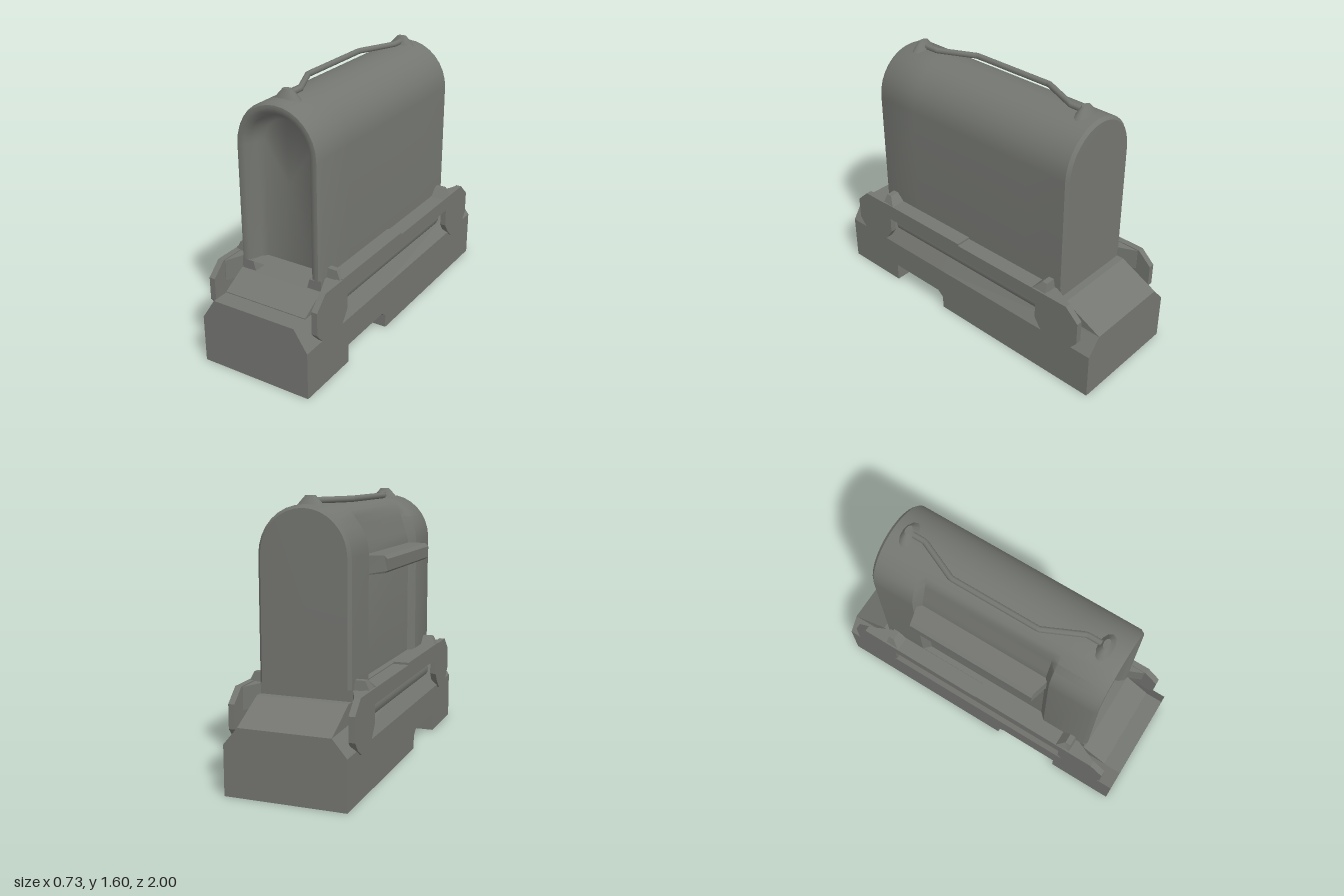
import * as THREE from 'three';
import { toCreasedNormals } from 'three/addons/utils/BufferGeometryUtils.js';

const gunmetal = new THREE.MeshStandardMaterial({ color: 0x747671 });
gunmetal.name = 'gunmetal grey';

const toShape = (pts) => new THREE.Shape(pts.map(([a, b]) => new THREE.Vector2(a, b)));

// Outline in (x, y), extruded from z0 to z1
function alongZ(pts, z0, z1) {
  return new THREE.ExtrudeGeometry(toShape(pts), { depth: z1 - z0, bevelEnabled: false }).translate(0, 0, z0);
}

// Outline in (z, y), extruded from x0 to x1
function alongX(pts, x0, x1) {
  return new THREE.ExtrudeGeometry(toShape(pts), { depth: x1 - x0, bevelEnabled: false })
    .rotateY(-Math.PI / 2).translate(x1, 0, 0);
}

// Move every vertex by a rule acting on a vector
function reshape(geometry, rule) {
  const p = geometry.attributes.position, v = new THREE.Vector3();
  for (let i = 0; i < p.count; i++) {
    v.fromBufferAttribute(p, i);
    rule(v);
    p.setXYZ(i, v.x, v.y, v.z);
  }
  geometry.computeVertexNormals();
  return geometry;
}

// Arched cross-section, counterclockwise seen from +z; dent pushes the right flank inward
function arch(inset, dent) {
  const bottom = 0.575, spring = 1.28, n = 16;
  const pts = [[-0.27 + inset, bottom], [0.27 - inset, bottom]];
  for (let i = 0; i <= n; i++) {
    const t = (i / n) * Math.PI;
    pts.push([(0.27 - inset) * Math.cos(t), spring + (0.275 - inset) * Math.sin(t)]);
  }
  return pts.map(([x, y]) => {
    if (!dent || x > -0.16) return [x, y];
    const flank = -0.23 + 0.07 * Math.max(0, (y - spring) / 0.22);
    return [Math.max(x, flank), y];
  });
}

// Hood lofted from back to front, folding into the front recess
function hoodGeometry() {
  const rings = [
    [-0.73, 0.018], [-0.712, 0], [-0.45, 0], [-0.41, 0, true], [0.4, 0, true], [0.44, 0],
    [0.715, 0], [0.738, 0.014], [0.74, 0.03], [0.732, 0.055], [0.705, 0.075], [0.66, 0.09], [0.635, 0.12],
  ];
  const pos = [], idx = [];
  const n = arch(0).length;
  for (const [z, inset, dent] of rings) for (const [x, y] of arch(inset, dent)) pos.push(x, y, z);
  for (let r = 0; r < rings.length - 1; r++) {
    for (let j = 0; j < n; j++) {
      const k = (j + 1) % n;
      const a = r * n + j, b = r * n + k, c = a + n, d = b + n;
      idx.push(a, b, c, b, d, c);
    }
  }
  const back = rings.length * n, front = back + 1, last = (rings.length - 1) * n;
  pos.push(0, 1.05, -0.732, 0, 1.05, 0.63);
  for (let j = 0; j < n; j++) {
    const k = (j + 1) % n;
    idx.push(back, k, j, front, last + j, last + k);
  }
  const g = new THREE.BufferGeometry();
  g.setAttribute('position', new THREE.Float32BufferAttribute(pos, 3));
  g.setIndex(idx);
  return toCreasedNormals(g, 0.7);
}

export function createModel() {
  const model = new THREE.Group();
  model.name = 'opticalSight';
  const add = (name, geometry) => {
    const m = new THREE.Mesh(geometry, gunmetal);
    m.name = name;
    model.add(m);
  };

  // Base in three lengths, with a cross notch under the middle one
  const upper = [[0.355, 0.29], [0.27, 0.42], [-0.27, 0.42], [-0.355, 0.29]];
  const plain = [[-0.355, 0], [0.355, 0], ...upper];
  const lug = [[-0.355, 0.115], [-0.33, 0.1], [-0.3, 0.06], [-0.26, 0.032], [-0.2, 0.02],
    [0.2, 0.02], [0.26, 0.032], [0.3, 0.06], [0.33, 0.1], [0.355, 0.115], ...upper];
  add('baseFront', alongZ(plain, 0.585, 1));
  add('baseMiddle', toCreasedNormals(alongZ(lug, 0.16, 0.585), 0.5));
  add('baseRear', reshape(alongZ(plain, -1, 0.16), (v) => {
    if (v.z < -0.9 && v.y > 0.4) v.y = 0.39;
  }));
  add('notchChamfer', alongX([[0.16, 0.12], [0.2, 0.115], [0.16, 0.08]], -0.355, 0.355));

  // Sloped deck, and a pedestal undercut at the front
  add('deck', alongX([[0.89, 0.4], [0.89, 0.425], [0.74, 0.51], [-0.76, 0.51], [-1, 0.39], [-1, 0.37]], -0.27, 0.27));
  add('pedestal', alongX([[0.72, 0.576], [-0.715, 0.576], [-0.715, 0.5], [0.6, 0.5]], -0.268, 0.268));

  add('hood', hoodGeometry());

  // Tapered switch housing seated in the dented right flank
  const housing = [[-0.2, 1.155], [-0.2, 1.268], [-0.345, 1.27], [-0.365, 1.25], [-0.365, 1.185], [-0.345, 1.17]];
  add('sideHousing', reshape(alongZ(housing, -0.44, 0.44), (v) => {
    if (v.x < -0.3) v.z *= 0.91;
    v.z -= 0.01;
  }));

  // Cranked wire along the top, held by two small mounts
  const wire = new THREE.CurvePath();
  const bends = [[0, 0.59], [0, 0.5], [-0.107, 0.27], [-0.107, -0.28], [0, -0.52], [0, -0.6]]
    .map(([x, z]) => new THREE.Vector3(x, 1.568, z));
  for (let i = 0; i < bends.length - 1; i++) wire.add(new THREE.LineCurve3(bends[i], bends[i + 1]));
  add('topWire', new THREE.TubeGeometry(wire, 80, 0.018, 8));
  for (const z of [0.615, -0.62]) {
    const mount = new THREE.CylinderGeometry(0.03, 0.085, 0.06, 12);
    add('wireMount', mount.scale(1, 1, 0.6).translate(0, 1.57, z));
  }

  // Side guards, mirrored left and right
  const knob = [[0.915, 0.36], [0.915, 0.5], [0.83, 0.58], [0.61, 0.58], [0.61, 0.38],
    [0.65, 0.32], [0.7, 0.27], [0.82, 0.27], [0.87, 0.305]];
  const horn = [[0.675, 0.56], [0.665, 0.63], [0.63, 0.63], [0.58, 0.58], [0.58, 0.56]];
  const span = (s, a, b) => (s > 0 ? [a, b] : [-b, -a]);
  for (const s of [1, -1]) {
    add('guardBarFront', alongX([[0, 0.48], [0.66, 0.48], [0.66, 0.583], [0, 0.583]], ...span(s, 0.268, 0.365)));
    add('guardBarRear', alongX([[-0.66, 0.48], [0, 0.48], [0, 0.57], [-0.66, 0.57]], ...span(s, 0.268, 0.365)));

    // Rounded rib in the slot under the bar
    const rib = new THREE.CylinderGeometry(0.068, 0.068, 1.22, 16).rotateX(Math.PI / 2);
    add('slotRib', rib.translate(s * 0.245, 0.415, 0));

    // Front rail beside the gap under the hood
    const rail = [[s * 0.268, 0.505], [s * 0.175, 0.505], [s * 0.195, 0.576], [s * 0.268, 0.576]];
    add('hoodRail', alongZ(rail, 0.6, 0.73));

    for (const e of [1, -1]) {
      const drop = e > 0 ? 0 : 0.01;
      const end = (pts) => pts.map(([z, y]) => [z * e, y - drop]);
      add('guardEnd', alongX(end(knob), ...span(s, 0.328, 0.365)));
      // Horn with its outer top edge sloped off
      add('guardHorn', reshape(alongX(end(horn), ...span(s, 0.268, 0.365)), (v) => {
        if (v.y > 0.6 && Math.abs(v.x) > 0.35) v.x = s * 0.33;
      }));
      // Gusset narrowing from the bar to the guard end
      const gusset = toShape([[s * 0.268, e * 0.65], [s * 0.34, e * 0.65], [s * 0.34, e * 0.82], [s * 0.325, e * 0.82], [s * 0.268, e * 0.69]]);
      const g = new THREE.ExtrudeGeometry(gusset, { depth: 0.13, bevelEnabled: false });
      add('guardGusset', g.rotateX(Math.PI / 2).translate(0, 0.575 - drop, 0));
    }
  }
  return model;
}
